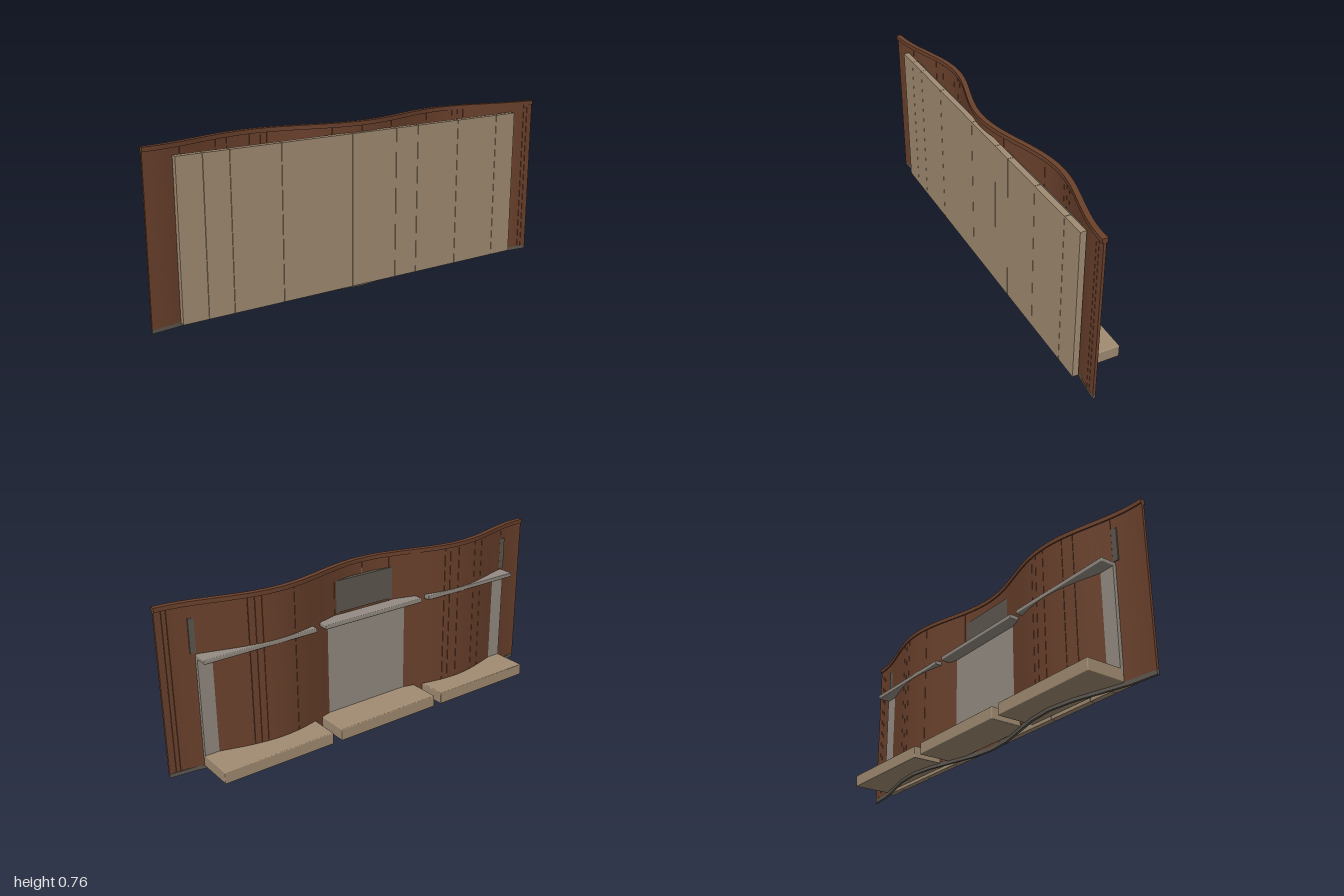
import * as THREE from 'three';
import { toCreasedNormals } from 'three/addons/utils/BufferGeometryUtils.js';
import { RoundedBoxGeometry } from 'three/addons/geometries/RoundedBoxGeometry.js';

const mat = (name, color) => {
  const m = new THREE.MeshStandardMaterial({ color });
  m.name = name;
  return m;
};

// Wavy centre line of the screen, seen in plan
const MID = 0.0475, AMP = 0.0465;
const waveZ = (x) => MID + AMP * Math.cos(2 * Math.PI * x);
const slope = (x) => -2 * Math.PI * AMP * Math.sin(2 * Math.PI * x);

// Upright ribbon following the wave from x0 to x1
function ribbon(x0, x1, y0, y1, thickness, steps) {
  const back = [], front = [];
  for (let i = 0; i <= steps; i++) {
    const x = x0 + (x1 - x0) * i / steps;
    const s = slope(x), h = thickness / 2 / Math.hypot(1, s);
    front.push(new THREE.Vector2(x - s * h, -(waveZ(x) + h)));
    back.push(new THREE.Vector2(x + s * h, -(waveZ(x) - h)));
  }
  const shape = new THREE.Shape([...front, ...back.reverse()]);
  const geo = new THREE.ExtrudeGeometry(shape, { depth: y1 - y0, bevelEnabled: false });
  geo.rotateX(-Math.PI / 2).translate(0, y0, 0);
  return toCreasedNormals(geo, 0.5);
}

// Box given by its limits, optionally with rounded edges
function block(x0, x1, y0, y1, z0, z1, radius = 0) {
  const size = [x1 - x0, y1 - y0, z1 - z0];
  const geo = radius
    ? new RoundedBoxGeometry(...size, 2, radius)
    : new THREE.BoxGeometry(...size);
  return geo.translate((x0 + x1) / 2, (y0 + y1) / 2, (z0 + z1) / 2);
}

export function createModel() {
  const model = new THREE.Group();
  model.name = 'wavyScreenWithBenches';
  const redWood = mat('redBrownWood', 0x6b412c);
  const paleWood = mat('paleWood', 0xa18c72);
  const grey = mat('warmGrey', 0x948c83);
  const darkGrey = mat('darkGrey', 0x5e5850);

  const add = (name, geo, material, parent = model) => {
    const mesh = new THREE.Mesh(geo, material);
    mesh.name = name;
    parent.add(mesh);
  };
  const group = (name) => {
    const g = new THREE.Group();
    g.name = name;
    model.add(g);
    return g;
  };

  // Curved wall of boards with hairline joints
  const wall = group('curvedWall');
  const joints = [-1, -0.84, -0.665, -0.61, -0.5, -0.45, -0.42, -0.14, 0,
    0.17, 0.415, 0.57, 0.6, 0.63, 0.95, 0.97, 1];
  for (let i = 0; i < joints.length - 1; i++) {
    const a = joints[i] + (i ? 0.001 : 0);
    const b = joints[i + 1] - (i < joints.length - 2 ? 0.001 : 0);
    const steps = Math.max(2, Math.ceil((b - a) / 0.025));
    add('wallBoard', ribbon(a, b, 0.018, 0.745, 0.012, steps), redWood, wall);
  }
  // Cap rail and plinth
  add('capRail', ribbon(-1, 1, 0.743, 0.762, 0.024, 80), redWood);
  add('plinth', ribbon(-1, 1, 0, 0.018, 0.012, 16), darkGrey);

  // Flat front cladding of uneven boards
  const cladding = group('frontCladding');
  const seams = [-0.875, -0.76, -0.643, -0.408, -0.06, 0.173, 0.292, 0.523, 0.757, 0.873];
  for (let i = 0; i < seams.length - 1; i++) {
    add('claddingBoard',
      block(seams[i] + 0.001, seams[i + 1] - 0.001, 0.015, 0.714, 0.09, 0.117), paleWood, cladding);
  }

  // Flat back panels passing through the wave
  add('lowerBackPanel', block(-0.855, 0.85, 0.06, 0.52, 0.051, 0.067), grey);
  add('upperBackPanel', block(-0.87, 0.87, 0.54, 0.69, 0.067, 0.085), darkGrey);

  // Three bays, each with a bench seat and a shelf
  for (const x0 of [-0.855, -0.275, 0.31]) {
    add('benchSeat', block(x0, x0 + 0.54, 0.014, 0.07, -0.115, 0.068, 0.004), paleWood);
    add('shelf', block(x0, x0 + 0.54, 0.513, 0.533, -0.009, 0.068, 0.004), grey);
  }
  return model;
}
